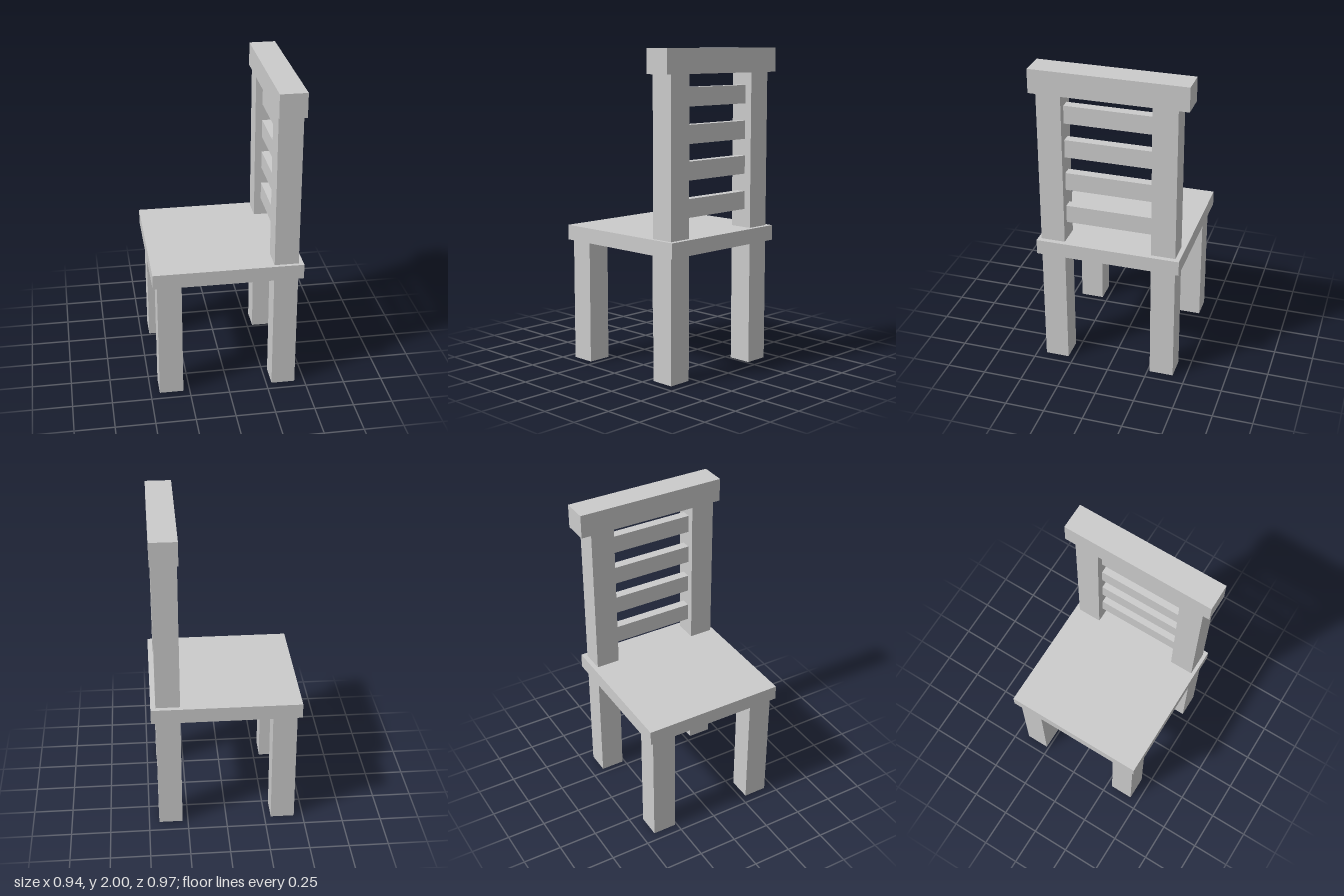
import * as THREE from 'three';

export function createModel() {
  const chair = new THREE.Group();
  chair.name = 'chair';
  const material = new THREE.MeshStandardMaterial({ color: 0xcccccc, flatShading: true });

  // Box from its [min, max] extents on each axis
  function addBox(name, [x0, x1], [y0, y1], [z0, z1]) {
    const mesh = new THREE.Mesh(new THREE.BoxGeometry(x1 - x0, y1 - y0, z1 - z0), material);
    mesh.position.set((x0 + x1) / 2, (y0 + y1) / 2, (z0 + z1) / 2);
    mesh.name = name;
    chair.add(mesh);
  }

  // Seat board
  addBox('seat', [-0.47, 0.467], [0.78, 0.875], [-0.448, 0.463]);

  // Short legs under the open edge, tall posts carrying the backrest
  const sides = [['Left', [0.288, 0.44]], ['Right', [-0.418, -0.265]]];
  for (const [side, z] of sides) {
    addBox('shortLeg' + side, [-0.443, -0.291], [0, 0.78], z);
    addBox('backPost' + side, [0.285, 0.436], [0, 1.85], z);
  }

  // Backrest slats between the posts
  [1.048, 1.273, 1.492, 1.714].forEach((y, i) => {
    addBox('slat' + (i + 1), [0.329, 0.389], [y - 0.057, y + 0.057], [-0.265, 0.288]);
  });

  // Rail capping the posts
  addBox('topRail', [0.279, 0.446], [1.85, 2], [-0.484, 0.484]);

  return chair;
}
